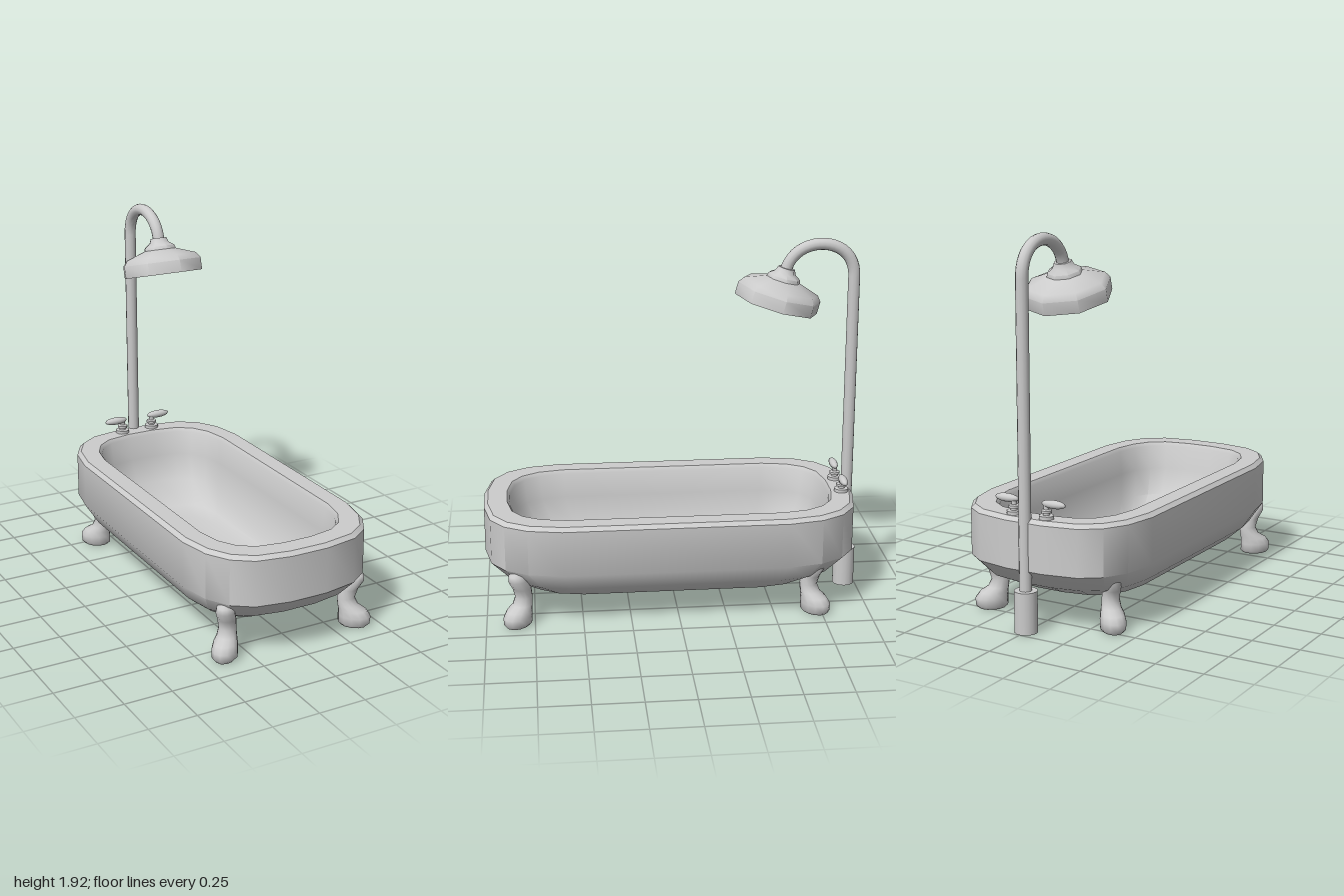
import * as THREE from 'three';
import { toCreasedNormals } from 'three/addons/utils/BufferGeometryUtils.js';

const material = new THREE.MeshStandardMaterial({ color: 0xcccccc });

function add(parent, name, geometry, x = 0, y = 0, z = 0) {
  const mesh = new THREE.Mesh(geometry, material);
  mesh.name = name;
  mesh.position.set(x, y, z);
  parent.add(mesh);
  return mesh;
}

// Skin a stack of closed rings (each ordered from +x towards +z) and cap both ends
function loft(rings, crease) {
  const n = rings[0].length, last = rings.length - 1;
  const points = rings.flat(), index = [];
  for (let j = 0; j < last; j++) {
    for (let i = 0; i < n; i++) {
      const a = j * n + i, b = j * n + (i + 1) % n;
      index.push(a, a + n, b + n, a, b + n, b);
    }
  }
  const centre = ring => ring.reduce((s, p) => s.add(p), new THREE.Vector3()).divideScalar(n);
  const low = points.push(centre(rings[0])) - 1;
  const high = points.push(centre(rings[last])) - 1;
  for (let i = 0; i < n; i++) {
    const k = (i + 1) % n;
    index.push(low, i, k, high, last * n + k, last * n + i);
  }
  const geometry = new THREE.BufferGeometry().setFromPoints(points);
  geometry.setIndex(index);
  return toCreasedNormals(geometry, crease);
}

// Rounded tub outline: half width, back z, front z, height
function tubRing([w, back, front, y]) {
  const corner = [[1, 0.82], [0.93, 0.46], [0.79, 0.22], [0.58, 0.07], [0.21, 0]];
  const q = corner.map(([x, d]) => [x * w, d * w]);
  const r = [...q].reverse();
  return [
    ...q.map(([x, d]) => new THREE.Vector3(x, y, front - d)),
    ...r.map(([x, d]) => new THREE.Vector3(-x, y, front - d)),
    ...q.map(([x, d]) => new THREE.Vector3(-x, y, back + d)),
    ...r.map(([x, d]) => new THREE.Vector3(x, y, back + d)),
  ];
}

// Elliptical leg section: height, outward shift, half length, half width
function legRing([y, u, ru, rv]) {
  return Array.from({ length: 12 }, (_, i) => {
    const a = (i / 12) * Math.PI * 2;
    return new THREE.Vector3(u + ru * Math.cos(a), y, rv * Math.sin(a));
  });
}

function lathe(profile, sides, crease = 0.9) {
  const points = profile.map(p => new THREE.Vector2(...p));
  return toCreasedNormals(new THREE.LatheGeometry(points, sides), crease);
}

export function createModel() {
  const model = new THREE.Group();
  model.name = 'bathtub';

  // Tub: outside from the base up, over the rim, then down inside
  add(model, 'tub', loft([
    [0.25, -0.55, 0.6, 0.1],
    [0.36, -0.72, 0.79, 0.15],
    [0.43, -0.86, 0.91, 0.215],
    [0.485, -0.955, 1.0, 0.31],
    [0.485, -0.955, 1.0, 0.55],
    [0.465, -0.935, 0.98, 0.57],
    [0.372, -0.84, 0.88, 0.57],
    [0.358, -0.826, 0.866, 0.55],
    [0.345, -0.81, 0.85, 0.42],
    [0.32, -0.76, 0.78, 0.28],
    [0.26, -0.62, 0.6, 0.17],
    [0.2, -0.5, 0.45, 0.145],
  ].map(tubRing), 0.7));

  // Four claw-style legs turned diagonally outwards
  const legGeometry = loft([
    [0, 0.045, 0.068, 0.05],
    [0.015, 0.045, 0.083, 0.063],
    [0.055, 0.047, 0.085, 0.065],
    [0.085, 0.035, 0.073, 0.06],
    [0.11, 0.012, 0.054, 0.051],
    [0.15, 0, 0.046, 0.045],
    [0.2, 0.012, 0.05, 0.047],
    [0.25, 0.04, 0.052, 0.048],
    [0.28, 0.048, 0.042, 0.04],
    [0.297, 0.047, 0.018, 0.018],
  ].map(legRing), 1.2);
  for (const side of [1, -1]) {
    const front = add(model, side > 0 ? 'frontLegLeft' : 'frontLegRight', legGeometry, side * 0.345, 0, 0.805);
    front.rotation.y = Math.atan2(-1, side);
    const rear = add(model, side > 0 ? 'rearLegLeft' : 'rearLegRight', legGeometry, side * 0.325, 0, -0.685);
    rear.rotation.y = Math.atan2(1, side);
  }

  // Standing pipe with its floor socket and curved top
  const pipeZ = -0.94;
  add(model, 'pipeBase', new THREE.CylinderGeometry(0.058, 0.058, 0.21, 16), 0, 0.105, pipeZ);
  add(model, 'pipe', new THREE.CylinderGeometry(0.031, 0.031, 1.52, 12, 1, true), 0, 0.96, pipeZ);
  const arch = new THREE.CubicBezierCurve3(
    new THREE.Vector3(0, 1.72, pipeZ),
    new THREE.Vector3(0, 1.94, pipeZ),
    new THREE.Vector3(0, 1.94, -0.62),
    new THREE.Vector3(0, 1.75, -0.582),
  );
  add(model, 'pipeArch', new THREE.TubeGeometry(arch, 20, 0.031, 12));

  // Eight-sided shower head, hollow underneath and tilted forward
  const head = add(model, 'showerHead', lathe([
    [0, 0.035], [0.18, 0.035], [0.188, 0], [0.223, 0], [0.223, 0.065], [0.2, 0.095],
    [0.09, 0.132], [0.085, 0.15], [0.055, 0.17], [0.045, 0.195], [0, 0.195],
  ], 8), 0, 1.58, -0.535);
  head.rotation.x = -0.27;

  // Pair of taps on the back rim
  for (const side of [1, -1]) {
    const tap = new THREE.Group();
    tap.name = side > 0 ? 'tapLeft' : 'tapRight';
    tap.position.set(side * 0.093, 0.565, -0.893);
    model.add(tap);
    add(tap, 'tapStem', lathe([
      [0, 0], [0.038, 0], [0.038, 0.022], [0.018, 0.024], [0.018, 0.034],
      [0.028, 0.036], [0.028, 0.048], [0.014, 0.052], [0.014, 0.08], [0, 0.08],
    ], 10, 0.7));
    const handle = add(tap, 'tapHandle', new THREE.SphereGeometry(1, 14, 10), side * 0.041, 0.08, 0);
    handle.scale.set(0.068, 0.021, 0.022);
  }
  return model;
}
